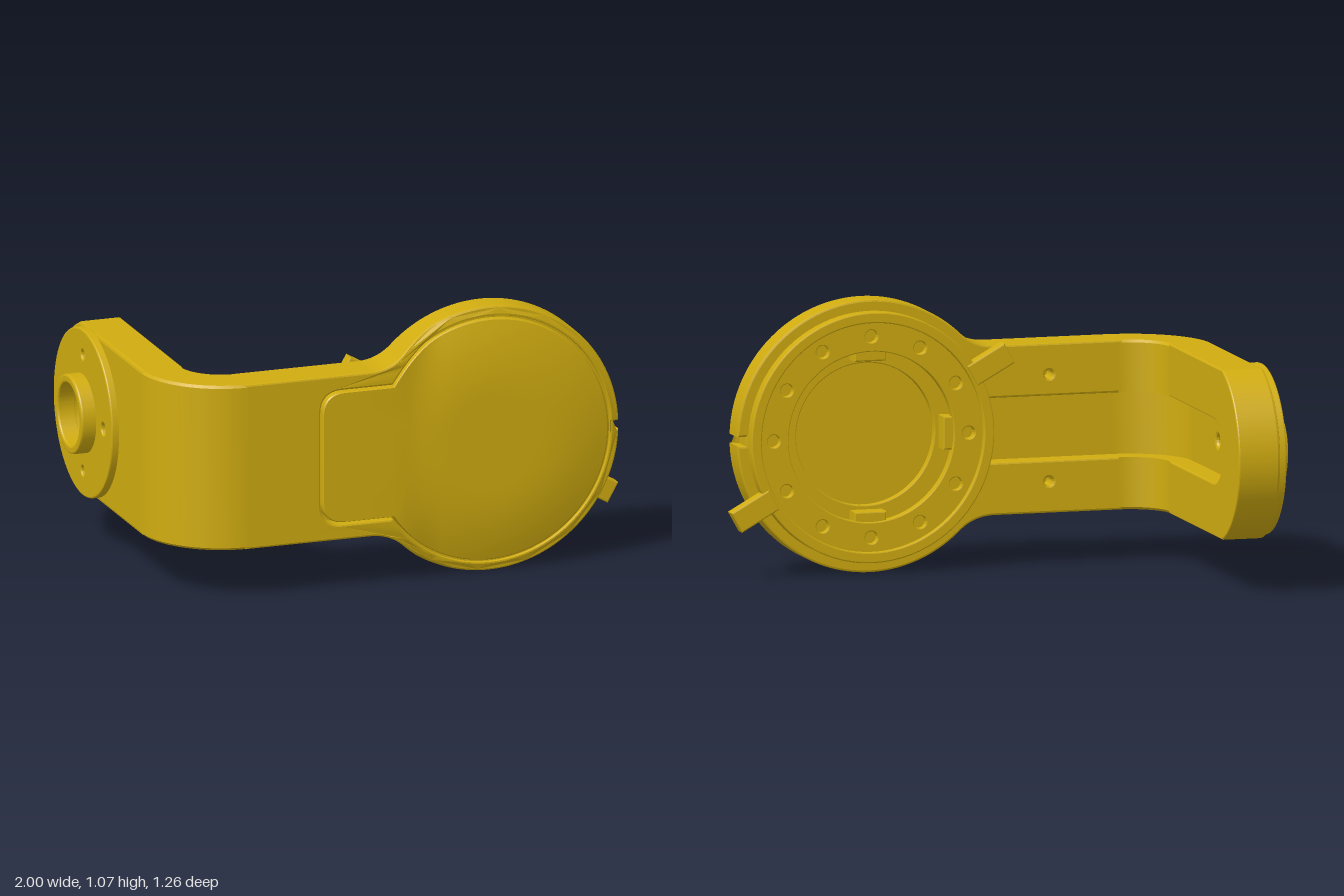
import * as THREE from 'three';
import { toCreasedNormals } from 'three/addons/utils/BufferGeometryUtils.js';

const CY = 0.541, HX = 0.429, HEAD_R = 0.535; // shared axis height, head centre and radius
const ARM = 0.333, SLOT = 0.127, LEG_Z = -0.281; // arm half width, channel half width, pivot z
const rad = THREE.MathUtils.degToRad;
const material = new THREE.MeshStandardMaterial({ color: 0xd0ac10, side: THREE.DoubleSide });

function add(group, name, geometry) {
  const mesh = new THREE.Mesh(toCreasedNormals(geometry, 0.35), material);
  mesh.name = name;
  group.add(mesh);
  return mesh;
}

// Extrusion between two depths whose bevel stays inside the outline
function slab(shape, from, to, bevel = 0.01) {
  const g = new THREE.ExtrudeGeometry(shape, {
    depth: to - from - 2 * bevel, bevelEnabled: bevel > 0, bevelSize: bevel,
    bevelThickness: bevel, bevelOffset: -bevel, bevelSegments: 2, curveSegments: 48,
  });
  return g.translate(0, 0, from + bevel);
}
// Slab facing sideways: shape is drawn in (-z, y), depth runs along x
const sideSlab = (...args) => slab(...args).rotateY(Math.PI / 2);

function circle(x, y, r) {
  const p = new THREE.Path();
  p.absarc(x, y, r, 0, Math.PI * 2, true);
  return p;
}
function ring(x, y, outer, inner) {
  const s = new THREE.Shape();
  s.absarc(x, y, outer, 0, Math.PI * 2, false);
  s.holes.push(circle(x, y, inner));
  return s;
}

// Height of the domed front, flat over the arm
function frontZ(x, y) {
  const r = Math.hypot(x - HX, y - CY);
  const drop = 0.055 * (Math.max(0, r - 0.2) / 0.335) ** 2;
  return 0.63 - drop * THREE.MathUtils.smoothstep(x, 0.015, 0.22);
}

// Arm running into the round head, with a small notch on the far side
function bodyOutline() {
  const s = new THREE.Shape();
  const a = rad(226), c = rad(1.9);
  s.moveTo(-0.595, CY - ARM);
  s.lineTo(-0.08, CY - ARM);
  s.quadraticCurveTo(0, CY - ARM, HX + HEAD_R * Math.cos(a), CY + HEAD_R * Math.sin(a));
  s.absarc(HX, CY, HEAD_R, a, Math.PI * 2 - c, false);
  s.lineTo(0.93, CY - 0.018);
  s.lineTo(0.93, CY + 0.018);
  s.absarc(HX, CY, HEAD_R, c, Math.PI * 2 - a, false);
  s.quadraticCurveTo(0, CY + ARM, -0.08, CY + ARM);
  s.lineTo(-0.595, CY + ARM);
  return s;
}

// Front cover: rounded tongue joined to a disc
function coverOutline(inset) {
  const s = new THREE.Shape();
  const R = 0.497 - inset, h = 0.272 - inset, x0 = -0.285 + inset, c = 0.09;
  const a = Math.asin(h / R);
  s.moveTo(x0, CY - h + c);
  s.quadraticCurveTo(x0, CY - h, x0 + c, CY - h);
  s.absarc(HX, CY, R, Math.PI + a, 3 * Math.PI - a, false);
  s.lineTo(x0 + c, CY + h);
  s.quadraticCurveTo(x0, CY + h, x0, CY + h - c);
  s.closePath();
  return s;
}

function coverGeometry() {
  const outline = coverOutline(0.009).getPoints(40);
  outline.pop();
  const n = outline.length, pos = [], idx = [], cx = 0.12;
  // [scale from centre, depth below the dome]
  const loops = [[1, 0.07], [1, 0.005], [0.99, 0]];
  for (let i = 13; i >= 0; i--) loops.push([i / 14, 0]);
  for (const [k, down] of loops) {
    for (const p of outline) {
      const x = cx + (p.x - cx) * k, y = CY + (p.y - CY) * k;
      pos.push(x, y, down > 0.05 ? 0.552 : frontZ(x, y) - down);
    }
  }
  for (let l = 0; l < loops.length - 1; l++) {
    for (let i = 0; i < n; i++) {
      const a = l * n + i, b = l * n + (i + 1) % n;
      idx.push(a, b, b + n);
      if (l < loops.length - 2) idx.push(a, b + n, a + n);
    }
  }
  const g = new THREE.BufferGeometry();
  g.setAttribute('position', new THREE.Float32BufferAttribute(pos, 3));
  g.setIndex(idx);
  return g;
}

function buildLeg(group) {
  // Flat leg with a rounded end; the channel turns the inner layer into a U
  const u = -LEG_Z, R = 0.354, a = Math.asin(ARM / R), start = -0.315;
  const base = () => {
    const s = new THREE.Shape();
    s.moveTo(start, CY - ARM);
    s.lineTo(u, CY - ARM);
    s.absarc(u, CY, R, -a, a, false);
    s.lineTo(start, CY + ARM);
    return s;
  };
  const outer = base();
  outer.holes.push(circle(u, CY, 0.125), circle(u - 0.235, CY, 0.025));
  add(group, 'legPlate', sideSlab(outer, -0.91, -0.83, 0.012));
  const inner = base();
  inner.lineTo(start, CY + SLOT);
  inner.absarc(u, CY, SLOT, Math.PI / 2, -Math.PI / 2, true);
  inner.lineTo(start, CY - SLOT);
  add(group, 'legRails', sideSlab(inner, -0.86, -0.74, 0.006));

  // Pivot plate with four screw holes, and its hollow boss
  const plate = ring(u, CY, 0.335, 0.125);
  for (let i = 0; i < 4; i++) {
    const t = i * Math.PI / 2;
    plate.holes.push(circle(u + 0.235 * Math.cos(t), CY + 0.235 * Math.sin(t), i === 2 ? 0.025 : 0.02));
  }
  add(group, 'pivotPlate', sideSlab(plate, -0.94, -0.9, 0.006));
  add(group, 'pivotBoss', sideSlab(ring(u, CY, 0.157, 0.124), -1, -0.92, 0.008));
}

function buildBend(group) {
  // Quarter turn of the channel section
  const b = 0.01;
  const section = [
    [0.33 - b, -ARM], [0.33, b - ARM], [0.33, ARM - b], [0.33 - b, ARM], [0.16 + b, ARM], [0.16, ARM - b],
    [0.16, SLOT], [0.25, SLOT], [0.25, -SLOT], [0.16, -SLOT], [0.16, b - ARM], [0.16 + b, -ARM], [0.33 - b, -ARM],
  ].map(([r, y]) => new THREE.Vector2(r, y));
  const geometry = new THREE.LatheGeometry(section, 24, -Math.PI / 2, Math.PI / 2);
  add(group, 'bend', geometry).position.set(-0.58, CY, 0.3);
}

function buildHead(group) {
  // Back layer, cut by the channel and the round cavity
  const back = bodyOutline(), t = Math.asin(SLOT / 0.36);
  back.lineTo(-0.595, CY + SLOT);
  back.absarc(HX, CY, 0.36, Math.PI - t, t - Math.PI, true);
  back.lineTo(-0.595, CY - SLOT);
  for (const s of [-1, 1]) back.holes.push(circle(-0.3, CY + s * 0.21, 0.018));
  add(group, 'armAndHeadBody', slab(back, 0.46, 0.57, 0.008));

  // Front frame around the cover, lowered to follow the dome
  const frame = bodyOutline();
  frame.holes.push(coverOutline(0));
  const g = slab(frame, 0.55, 0.63, 0.008);
  const p = g.attributes.position;
  for (let i = 0; i < p.count; i++) {
    if (p.getZ(i) > 0.6) p.setZ(i, frontZ(p.getX(i), p.getY(i)) + p.getZ(i) - 0.63);
  }
  add(group, 'frontFrame', g);
  add(group, 'cavityFloor', slab(coverOutline(-0.01), 0.548, 0.56, 0));
  add(group, 'frontCover', coverGeometry());

  // Rear collar: raised lip, screw flange and inner step
  add(group, 'collarLip', slab(ring(HX, CY, 0.492, 0.45), 0.41, 0.48, 0.005));
  const flange = ring(HX, CY, 0.46, 0.335);
  for (let i = 0; i < 12; i++) {
    const a = rad(i * 30);
    flange.holes.push(circle(HX + 0.395 * Math.cos(a), CY + 0.395 * Math.sin(a), 0.025));
  }
  add(group, 'screwFlange', slab(flange, 0.432, 0.475, 0.004));
  add(group, 'innerStep', slab(ring(HX, CY, 0.365, 0.28), 0.515, 0.555, 0.004));

  // Clips inside the cavity and tabs outside the collar
  for (const deg of [90, 180, 270]) radialBox(group, 'clip', deg, 0.295, 0.345, 0.13, 0.445, 0.52);
  for (const deg of [-29.3, 150.7]) radialBox(group, 'collarTab', deg, 0.46, 0.634, 0.09, 0.405, 0.462);
}

function radialBox(group, name, deg, r0, r1, width, z0, z1) {
  const s = new THREE.Shape();
  s.moveTo(r0, -width / 2);
  s.lineTo(r1, -width / 2);
  s.lineTo(r1, width / 2);
  s.lineTo(r0, width / 2);
  const box = add(group, name, slab(s, z0, z1, 0.006));
  box.position.set(HX, CY, 0);
  box.rotation.z = rad(deg);
}

export function createModel() {
  const group = new THREE.Group();
  group.name = 'angledBracket';
  buildLeg(group);
  buildBend(group);
  buildHead(group);
  return group;
}
